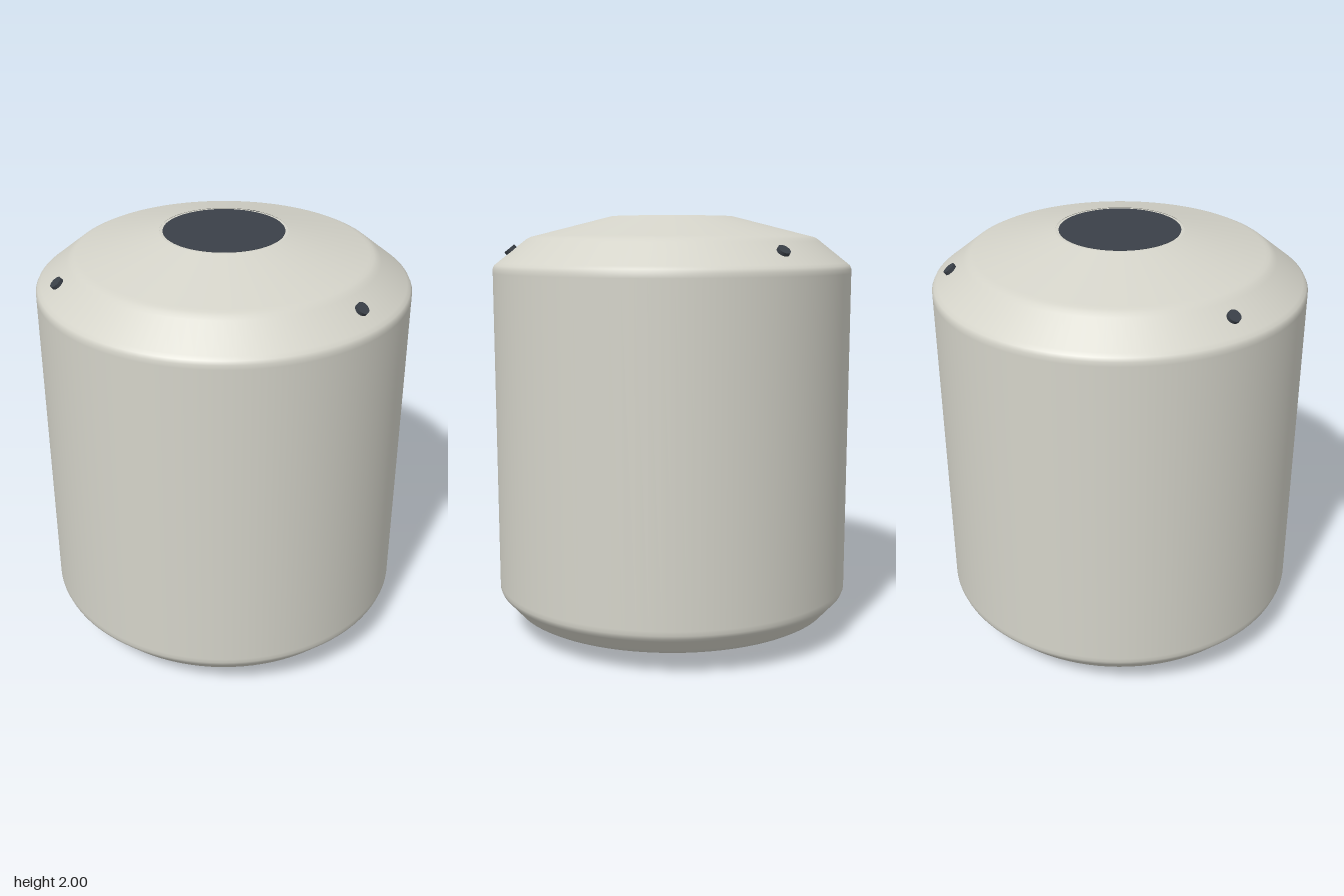
import * as THREE from 'three';

const shellMat = new THREE.MeshStandardMaterial({ color: 0xd4d3c9, side: THREE.DoubleSide });
shellMat.name = 'warm grey shell';
const darkMat = new THREE.MeshStandardMaterial({ color: 0x3a4048 });
darkMat.name = 'dark slate';

// Softens each corner of a profile while keeping the runs between them straight
function softProfile(corners) {
  const pts = [corners[0]];
  for (let i = 1; i < corners.length - 1; i++) {
    const c = corners[i];
    const toward = (p, d) => c.clone().add(p.clone().sub(c).setLength(d));
    for (const d of [0.03, 0.01]) pts.push(toward(corners[i - 1], d));
    for (const d of [0.01, 0.03]) pts.push(toward(corners[i + 1], d));
  }
  pts.push(corners[corners.length - 1]);
  return pts;
}

function add(parent, name, geometry, material) {
  const mesh = new THREE.Mesh(geometry, material);
  mesh.name = name;
  parent.add(mesh);
  return mesh;
}

export function createModel() {
  const model = new THREE.Group();
  model.name = 'canister';

  // Hollow body, open at the bottom
  const corners = [
    [0.29, 0], [0.765, 0.1], [0.855, 0.2], [0.855, 1.765], [0.685, 1.9], [0.29, 2],
  ].map(([r, y]) => new THREE.Vector2(r, y));
  add(model, 'shell', new THREE.LatheGeometry(softProfile(corners), 96), shellMat);

  // Narrow flat lip around the top opening
  const lip = add(model, 'topLip', new THREE.RingGeometry(0.27, 0.29, 96), shellMat);
  lip.rotation.x = -Math.PI / 2;
  lip.position.y = 1.998;

  // Dark disc closing the top
  const disc = add(model, 'topDisc', new THREE.CylinderGeometry(0.275, 0.275, 0.04, 96), darkMat);
  disc.position.y = 1.98;

  // Three small studs spaced evenly on the upper chamfer
  const outward = new THREE.Vector3(0.135, 0.17, 0).normalize();
  for (let i = 0; i < 3; i++) {
    const pivot = new THREE.Group();
    pivot.name = 'studMount';
    pivot.rotation.y = -THREE.MathUtils.degToRad(56.2 + i * 120);
    const stud = add(pivot, 'stud', new THREE.CylinderGeometry(0.03, 0.03, 0.03, 20), darkMat);
    stud.position.set(0.765, 1.838, 0);
    stud.quaternion.setFromUnitVectors(new THREE.Vector3(0, 1, 0), outward);
    model.add(pivot);
  }

  // Inner block seen through the bottom opening, with a dark plate beneath it
  const core = new THREE.Group();
  core.name = 'core';
  core.rotation.y = Math.PI / 4;
  const block = add(core, 'coreBlock', new THREE.BoxGeometry(0.5, 0.5, 0.7), shellMat);
  block.position.set(-0.04, 0.65, 0.22);
  const plate = add(core, 'corePlate', new THREE.BoxGeometry(0.24, 0.008, 0.06), darkMat);
  plate.position.set(-0.13, 0.396, 0.48);
  model.add(core);

  return model;
}
